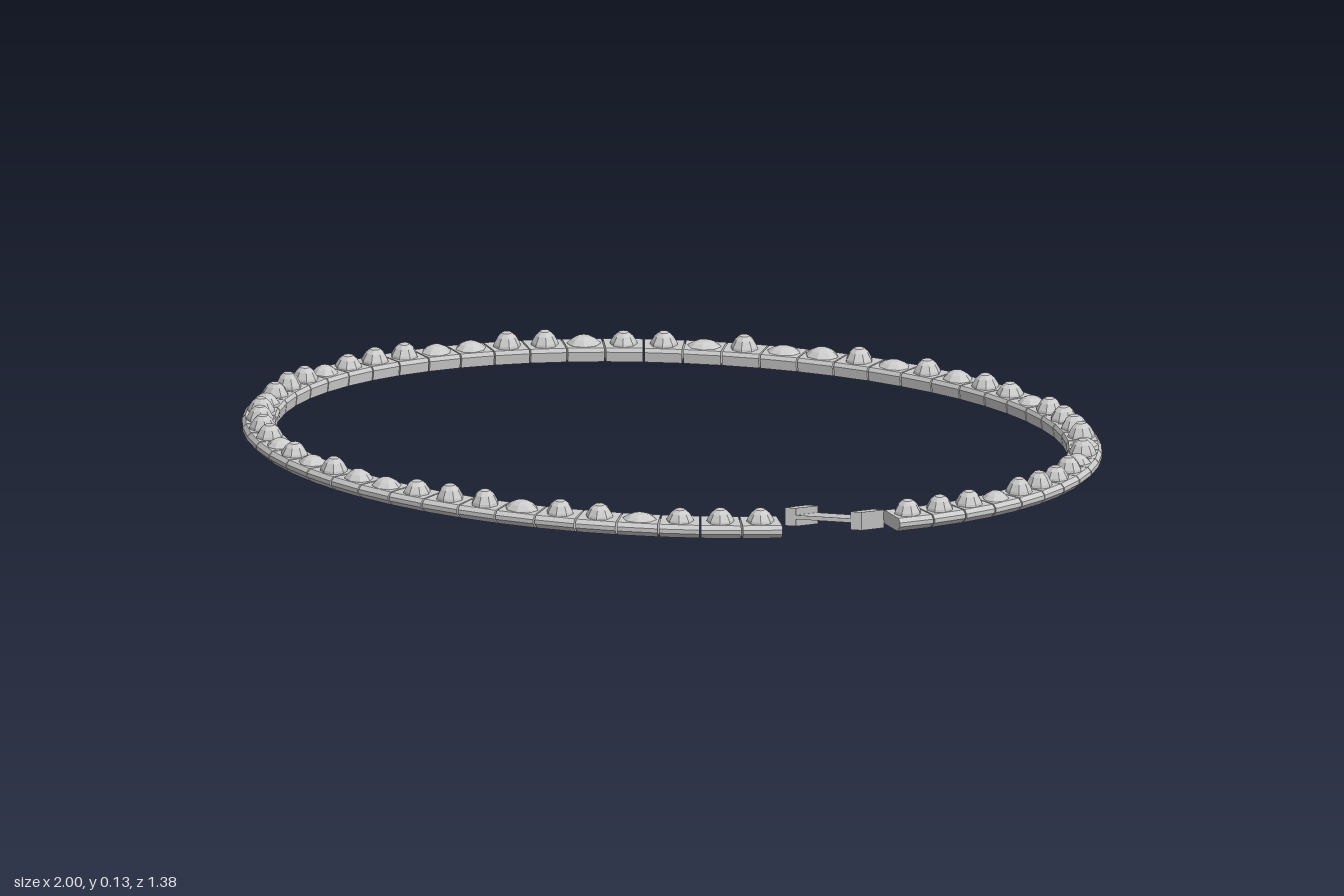
import * as THREE from 'three';

const RX = 0.957, RZ = 0.625, CZ = -0.03; // centre line of the oval
const COUNT = 64, STEP = (Math.PI * 2) / COUNT;

const material = new THREE.MeshStandardMaterial({ color: 0xcccccc, flatShading: true, side: THREE.DoubleSide });

// Point on the oval; angle 0 is the front centre, offset is outward
const onOval = (a, offset, y) =>
  new THREE.Vector3((RX + offset) * Math.sin(a), y, CZ + (RZ + offset) * Math.cos(a));

// Repeatable value from 0 to 1 for each stone
const vary = (i, k) => {
  const v = Math.sin(i * 12.9898 + k * 78.233) * 43758.5453;
  return v - Math.floor(v);
};

// Curved kerb block with chamfered lower and upper edges
function blockGeometry(a0, a1) {
  const section = [[-0.036, 0.012], [0.028, 0.012], [0.042, 0.026], [0.042, 0.036], [0.034, 0.045], [-0.034, 0.045], [-0.039, 0.036]];
  const n = section.length, pos = [], index = [];
  for (const a of [a0, a1]) for (const [o, y] of section) pos.push(...onOval(a, o, y).toArray());
  for (let i = 0; i < n; i++) {
    const j = (i + 1) % n;
    index.push(i, i + n, j, j, i + n, j + n);
  }
  for (let i = 1; i < n - 1; i++) index.push(0, i, i + 1, n, n + i + 1, n + i);
  const geo = new THREE.BufferGeometry();
  geo.setAttribute('position', new THREE.Float32BufferAttribute(pos, 3));
  geo.setIndex(index);
  geo.computeVertexNormals();
  return geo;
}

// Faceted dome of unit height and radius
const domeGeometry = new THREE.LatheGeometry(
  [[1, 0], [0.93, 0.3], [0.66, 0.72], [0.36, 0.97], [0, 1]].map(([x, y]) => new THREE.Vector2(x, y)), 8);

function stoneRing() {
  const ring = new THREE.Group();
  ring.name = 'stoneRing';
  for (let i = 0; i < COUNT; i++) {
    if (i >= 4 && i <= 6) continue; // gateway
    const a = (i + 0.5) * STEP;
    const stone = new THREE.Group();
    stone.name = 'stone';

    const block = new THREE.Mesh(blockGeometry(a - STEP * 0.48, a + STEP * 0.48), material);
    block.name = 'stoneBlock';

    // Tall rounded caps alternate irregularly with lower, broader ones
    const tall = vary(i, 1) > 0.4;
    const along = Math.hypot(RX * Math.cos(a), RZ * Math.sin(a)) * STEP * 0.5;
    const height = tall ? 0.032 + vary(i, 2) * 0.008 : 0.018 + vary(i, 2) * 0.008;
    const cap = new THREE.Mesh(domeGeometry, material);
    cap.name = 'stoneCap';
    cap.position.copy(onOval(a, 0, 0.04));
    cap.rotation.y = Math.atan2(RZ * Math.sin(a), RX * Math.cos(a));
    cap.scale.set(Math.min(along * 0.9, tall ? 0.033 : 0.043), height, 0.033);
    stone.add(block, cap);
    ring.add(stone);
  }
  return ring;
}

// Sloping ramp: a thin deck between two side rails
function ramp() {
  const length = 0.265, slope = 0.0815 / length;
  const group = new THREE.Group();
  group.name = 'ramp';
  const addPart = (name, w, h, x) => {
    const geo = new THREE.BoxGeometry(w, h, length);
    const p = geo.attributes.position;
    for (let i = 0; i < p.count; i++) p.setY(i, p.getY(i) + slope * p.getZ(i));
    geo.computeVertexNormals();
    const mesh = new THREE.Mesh(geo, material);
    mesh.name = name;
    mesh.position.x = x;
    group.add(mesh);
  };
  addPart('rampDeck', 0.13, 0.01, 0);
  for (const s of [-1, 1]) addPart('rampRail', 0.026, 0.044, s * 0.077);
  group.position.set(0.495, 0.063, 0.5545);
  return group;
}

export function createModel() {
  const model = new THREE.Group();
  model.name = 'stoneRingWithRamp';
  model.add(stoneRing(), ramp());
  return model;
}
